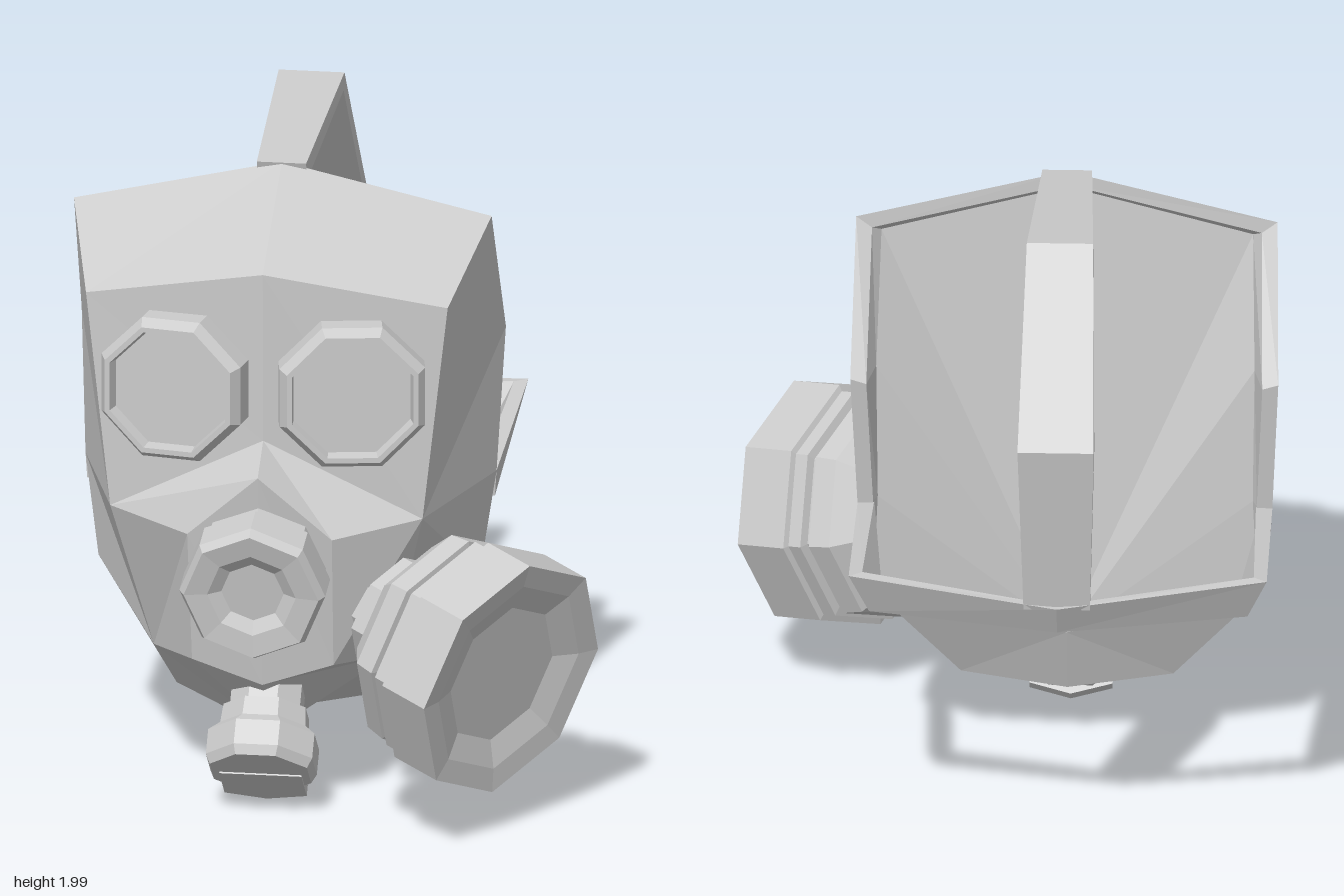
import * as THREE from 'three';

const material = new THREE.MeshStandardMaterial({ color: 0xcccccc, flatShading: true, side: THREE.DoubleSide });

function mesh(geometry, name) {
  const m = new THREE.Mesh(geometry, material);
  m.name = name;
  return m;
}

// Geometry from polygons given as lists of [x, y, z] corners
function polygons(polys) {
  const pos = [];
  for (const p of polys) {
    for (let i = 1; i < p.length - 1; i++) pos.push(...p[0], ...p[i], ...p[i + 1]);
  }
  const g = new THREE.BufferGeometry();
  g.setAttribute('position', new THREE.Float32BufferAttribute(pos, 3));
  g.computeVertexNormals();
  return g;
}

const flip = ([x, y, z]) => [-x, y, z];

// Half a surface together with its mirror image
function mirrored(half) {
  return polygons([...half, ...half.map(p => p.map(flip).reverse())]);
}

// Closed strip through four-cornered sections
function band(sections) {
  const polys = [sections[0], [...sections[sections.length - 1]].reverse()];
  for (let i = 0; i < sections.length - 1; i++) {
    const a = sections[i], b = sections[i + 1];
    for (let j = 0; j < 4; j++) {
      const k = (j + 1) % 4;
      polys.push([a[j], b[j], b[k], a[k]]);
    }
  }
  return polygons(polys);
}

// Eight-sided turned part facing +z; profile is [radius, depth]
function turned(profile, name, phi = 0) {
  const g = new THREE.LatheGeometry(profile.map(p => new THREE.Vector2(...p)), 8, phi);
  return mesh(g.rotateX(Math.PI / 2), name);
}

// Place a +z part at a point, facing along a direction
function aim(obj, at, dir) {
  obj.position.set(...at);
  obj.lookAt(new THREE.Vector3(...at).add(new THREE.Vector3(...dir)));
  return obj;
}

function face() {
  // Half of the mask: points 0-6 are the back rim from crown to chin
  const outer = [
    [0, 1.93, 0.06], [0.635, 1.78, 0.04], [0.645, 1.35, -0.2], [0.625, 0.91, -0.14],
    [0.58, 0.6, -0.1], [0.32, 0.26, 0.06], [0, 0.2, 0.08],
    [0, 1.71, 0.48], [0.55, 1.6, 0.39], [0.475, 0.93, 0.4], // brow and cheek corners
    [0.36, 0.45, 0.27], [0, 0.19, 0.27], // jaw and chin
    [0, 1.18, 0.47], [0, 1.1, 0.59], [0.22, 0.9, 0.55], [0.215, 0.48, 0.48], [0, 0.41, 0.49], // muzzle
  ];
  const faces = [
    [7, 8, 1, 0], [7, 12, 9, 8], [12, 13, 14, 9], [13, 16, 15, 14], [9, 14, 15, 10], [16, 11, 10, 15],
    [8, 2, 1], [8, 9, 2], [9, 3, 2], [9, 10, 4, 3], [10, 5, 4], [10, 11, 6, 5],
  ];
  const shell = faces.map(f => f.map(i => outer[i]));

  // Flat lip from crown to cheek, with a shallow dish inside that fans out from the chin
  const lip = outer.slice(0, 4).map(([x, y, z]) => [x * 0.925, 1.05 + (y - 1.05) * 0.95, z]);
  const dish = [
    [0, 1.86, 0.1], [0.56, 1.72, 0.08], [0.57, 1.35, -0.1], [0.565, 0.92, -0.11], ...outer.slice(4, 7),
  ];
  const chin = [0, 0.42, 0];
  const liner = [[outer[3], outer[4], lip[3]], [lip[3], outer[4], dish[3]]];
  for (let i = 0; i < 3; i++) {
    liner.push([outer[i], outer[i + 1], lip[i + 1], lip[i]]);
    liner.push([lip[i], lip[i + 1], dish[i + 1], dish[i]]);
  }
  for (let i = 0; i < 6; i++) liner.push([chin, dish[i], dish[i + 1]]);
  const g = new THREE.Group();
  g.name = 'face';
  g.add(mesh(mirrored(shell), 'faceShell'), mesh(mirrored(liner), 'innerLiner'));
  return g;
}

function straps() {
  const g = new THREE.Group();
  g.name = 'headStraps';
  // Over-the-head strap: outer z, y, inner z, y, half width
  const top = [
    [0.07, 1.93, 0.05, 1.87, 0.075], [-0.59, 2.0, -0.57, 1.95, 0.1],
    [-0.99, 1.49, -0.935, 1.48, 0.115], [-0.89, 0.92, -0.84, 0.93, 0.1],
  ].map(([zo, yo, zi, yi, w]) => [[-w, yo, zo], [w, yo, zo], [w, yi, zi], [-w, yi, zi]]);
  g.add(mesh(band(top), 'topStrap'));

  // Neck strap from side to side, leaning inward at its lower edge
  const start = [[0.625, 0.91, -0.14], [0.575, 0.91, -0.12], [0.575, 0.83, -0.12], [0.62, 0.83, -0.14]];
  const corner = [[0.63, 0.98, -0.8], [0.59, 0.98, -0.77], [0.53, 0.86, -0.71], [0.57, 0.84, -0.75]];
  const back = [[0, 0.93, -0.91], [0, 0.93, -0.88], [0, 0.84, -0.83], [0, 0.83, -0.86]];
  g.add(mesh(band([start, corner, back, corner.map(flip), start.map(flip)]), 'neckStrap'));
  return g;
}

function eyepiece(side) {
  const g = new THREE.Group();
  g.name = side > 0 ? 'leftEyepiece' : 'rightEyepiece';
  g.add(turned([[0.238, -0.05], [0.238, 0.06], [0.215, 0.095], [0.198, 0.095], [0.19, 0.05]], 'eyeFrame', Math.PI / 8));
  g.add(turned([[0.195, 0.055], [0, 0.055]], 'lens', Math.PI / 8));
  return aim(g, [side * 0.265, 1.343, 0.445], [side * 0.18, 0, 1]);
}

function filter() {
  const g = new THREE.Group();
  g.name = 'filterCanister';
  g.add(turned([[0.13, -0.62], [0.13, -0.5], [0.19, -0.5], [0.19, -0.44], [0.15, -0.44], [0.15, -0.38]], 'filterNeck'));
  g.add(turned([
    [0, -0.4], [0.27, -0.4], [0.345, -0.33], [0.355, -0.26], [0.335, -0.255], [0.335, -0.24],
    [0.365, -0.235], [0.365, -0.19], [0.385, -0.185], [0.385, -0.01], [0.31, -0.02],
    [0.225, -0.05], [0, -0.05],
  ], 'filterDrum'));
  return aim(g, [0.79, 0.525, 0.68], [0.8, -0.2, 0.56]);
}

function chinValve() {
  const g = new THREE.Group();
  g.name = 'chinValve';
  g.add(turned([
    [0.115, -0.28], [0.115, -0.2], [0.135, -0.2], [0.14, -0.14], [0.175, -0.11], [0.175, -0.03],
    [0.16, 0], [0, 0],
  ], 'valveBody', Math.PI / 8));
  // Pointed lever tab over the lower edge
  const shape = new THREE.Shape([[-0.125, 0], [-0.125, -0.155], [0, -0.19], [0.125, -0.155], [0.125, 0]]
    .map(p => new THREE.Vector2(...p)));
  const tab = new THREE.ExtrudeGeometry(shape, { depth: 0.035, bevelEnabled: false });
  g.add(mesh(tab.translate(0, 0, -0.03), 'valveTab'));
  return aim(g, [0, 0.142, 0.53], [0, -0.76, 0.65]);
}

export function createModel() {
  const mask = new THREE.Group();
  mask.name = 'gasMask';
  mask.add(face(), straps(), eyepiece(1), eyepiece(-1), filter(), chinValve());

  // Round speech port on the muzzle
  const port = turned([
    [0.2, -0.12], [0.2, 0], [0.222, 0.01], [0.222, 0.12], [0.205, 0.15], [0.135, 0.14],
    [0.095, 0.115], [0, 0.115],
  ], 'speechPort');
  mask.add(aim(port, [0, 0.795, 0.59], [0, -0.17, 1]));

  // The side canister shifts the mask off centre
  mask.position.x = -0.175;
  const root = new THREE.Group();
  root.name = 'model';
  root.add(mask);
  return root;
}
